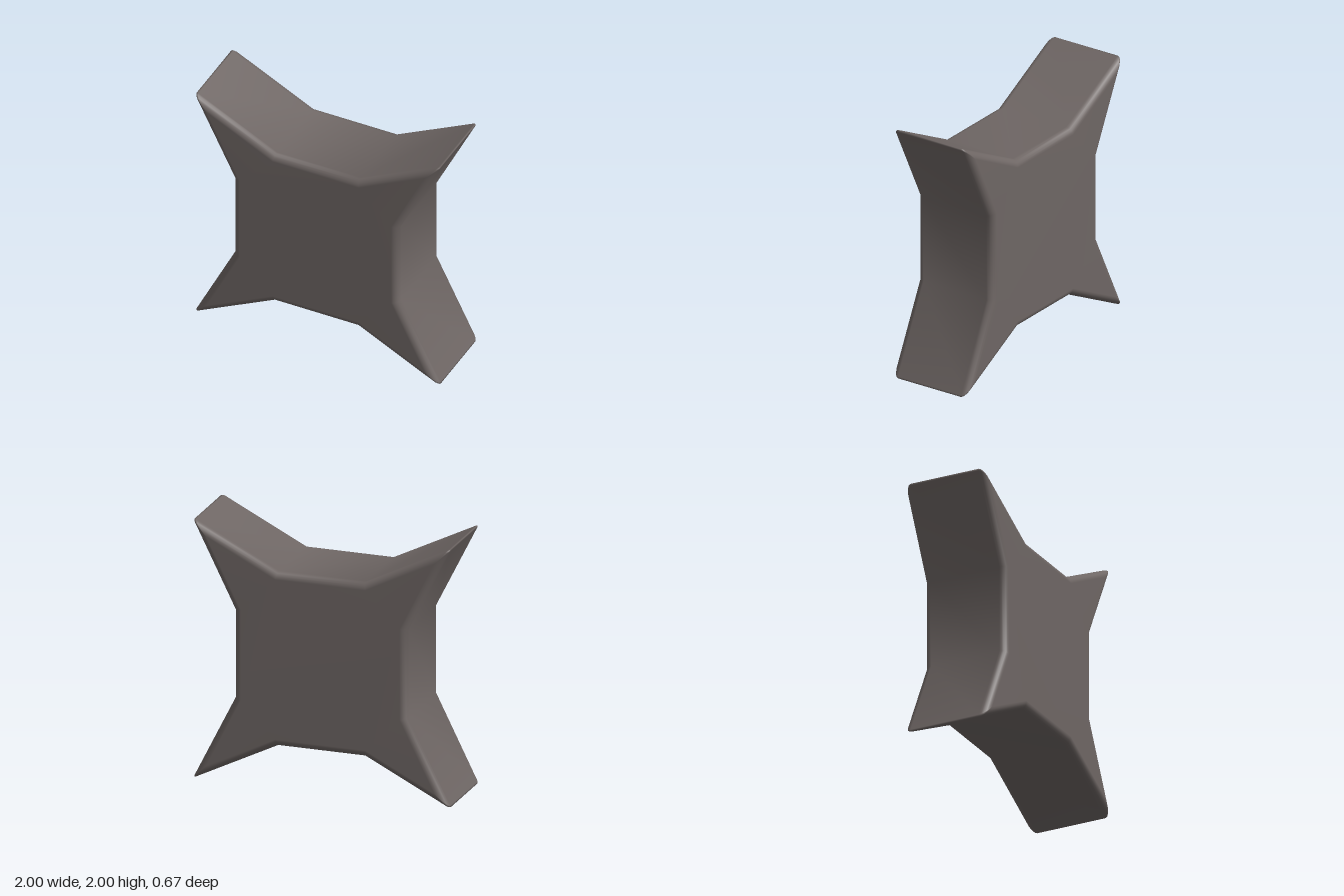
import * as THREE from 'three';
import { mergeVertices } from 'three/addons/utils/BufferGeometryUtils.js';

const HALF_DEPTH = 0.337;
const BEVEL = 0.055;
const STEPS = 5;

// One quarter of the flat face outline, with the way each point spreads over the bevel.
const core = 1 - 2 * BEVEL;
const quarter = [
  { p: [0.675 - BEVEL, 0.34 + 0.233 * BEVEL], d: [1, -0.233] }, // lower shoulder
  { p: [core, core], d: [1.98, 1.756] },                        // rounded tip
  { p: [core, core], d: [2, 2], tip: true },
  { p: [core, core], d: [1.756, 1.98] },
  { p: [0.34 + 0.233 * BEVEL, 0.675 - BEVEL], d: [-0.233, 1] }, // upper shoulder
];

// Quarter turns give the whole four-pointed outline, counter-clockwise.
function makeOutline() {
  const turn = ([x, y], n) => (n ? turn([-y, x], n - 1) : [x, y]);
  const points = [];
  for (let n = 0; n < 4; n++) {
    for (const c of quarter) {
      points.push({ p: turn(c.p, n), d: turn(c.d, n), cap: c.tip || c.p[0] !== core });
    }
  }
  return points;
}

function makeBody() {
  const outline = makeOutline();
  const count = outline.length;
  const positions = [];
  const indices = [];

  // Rings from the front face, over its bevel, along the wall to the back face.
  const rings = [];
  for (const side of [1, -1]) {
    for (let i = 0; i <= STEPS; i++) {
      const a = ((side > 0 ? i : STEPS - i) / STEPS) * Math.PI / 2;
      rings.push({ k: BEVEL * Math.sin(a), z: side * (HALF_DEPTH - BEVEL + BEVEL * Math.cos(a)) });
    }
  }
  for (const { k, z } of rings) {
    for (const { p, d } of outline) positions.push(p[0] + k * d[0], 1 + p[1] + k * d[1], z);
  }
  for (let r = 0; r < rings.length - 1; r++) {
    for (let i = 0; i < count; i++) {
      const j = (i + 1) % count;
      const a = r * count + i, b = r * count + j;
      indices.push(a, a + count, b, b, a + count, b + count);
    }
  }

  // Flat front and back faces.
  const capIds = outline.map((_, i) => i).filter((i) => outline[i].cap);
  const contour = capIds.map((i) => new THREE.Vector2(...outline[i].p));
  const back = (rings.length - 1) * count;
  for (const [a, b, c] of THREE.ShapeUtils.triangulateShape(contour, [])) {
    indices.push(capIds[a], capIds[b], capIds[c]);
    indices.push(back + capIds[a], back + capIds[c], back + capIds[b]);
  }

  const geometry = new THREE.BufferGeometry();
  geometry.setAttribute('position', new THREE.Float32BufferAttribute(positions, 3));
  geometry.setIndex(indices);
  const smooth = mergeVertices(geometry, 1e-5);
  smooth.computeVertexNormals();
  return smooth;
}

export function createModel() {
  const stone = new THREE.MeshStandardMaterial({ color: 0x6e6664 });
  stone.name = 'warm grey';
  const group = new THREE.Group();
  group.name = 'fourPointedBlock';
  const body = new THREE.Mesh(makeBody(), stone);
  body.name = 'body';
  group.add(body);
  return group;
}
